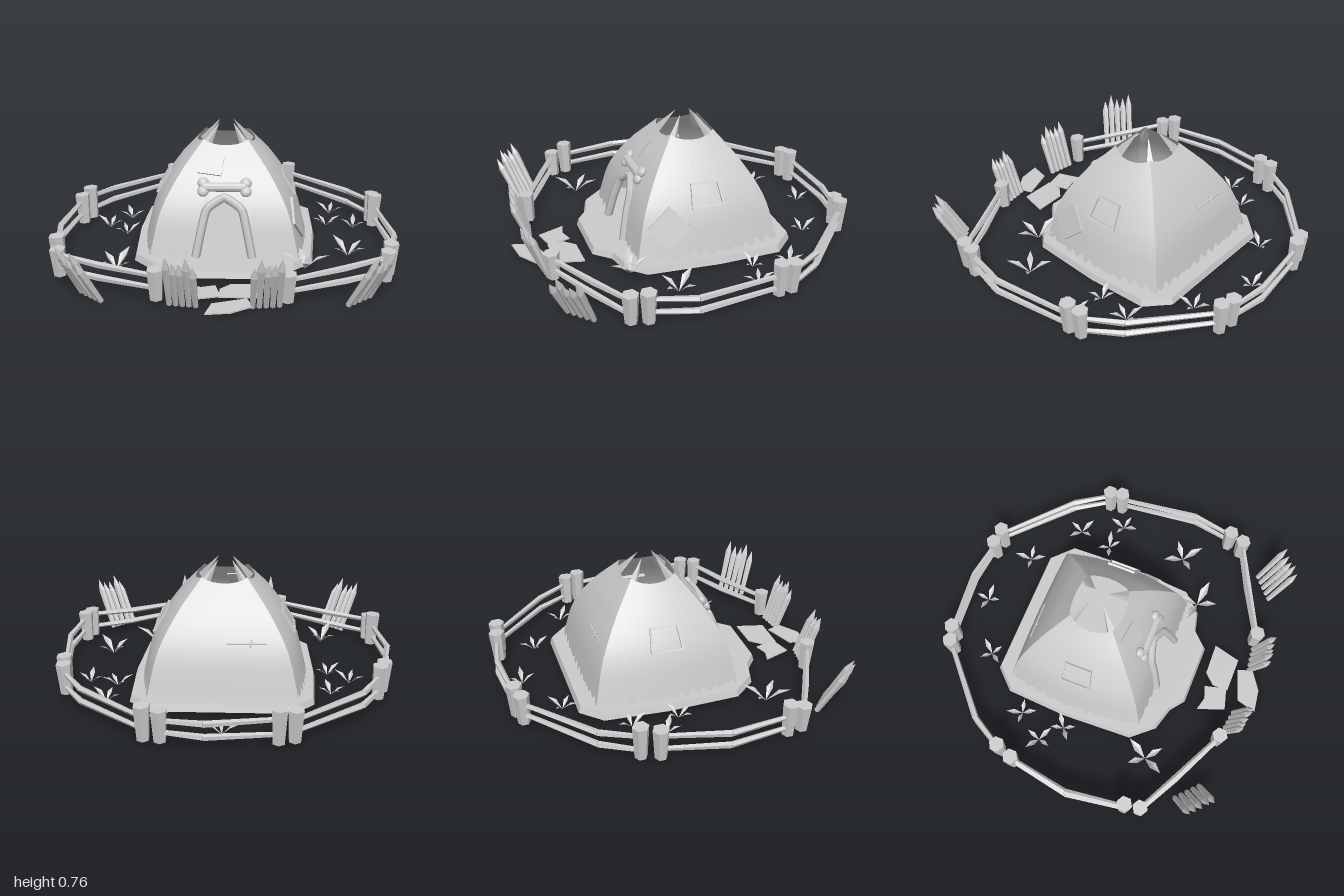
import * as THREE from 'three';

const V = (x, y, z) => new THREE.Vector3(x, y, z);
const flat = new THREE.MeshStandardMaterial({ color: 0xcccccc, flatShading: true });
const thin = new THREE.MeshStandardMaterial({ color: 0xcccccc, flatShading: true, side: THREE.DoubleSide });
const smooth = new THREE.MeshStandardMaterial({ color: 0xcccccc, side: THREE.DoubleSide });

function add(parent, name, geometry, material = flat) {
  const mesh = new THREE.Mesh(geometry, material);
  mesh.name = name;
  parent.add(mesh);
  return mesh;
}

function group(parent, name) {
  const g = new THREE.Group();
  g.name = name;
  parent.add(g);
  return g;
}

// Tapered rod from a to b
function rod(parent, name, a, b, r0, r1, sides = 6) {
  const d = b.clone().sub(a);
  const mesh = add(parent, name, new THREE.CylinderGeometry(r1, r0, d.length(), sides));
  mesh.position.copy(a).add(b).multiplyScalar(0.5);
  mesh.quaternion.setFromUnitVectors(V(0, 1, 0), d.normalize());
  return mesh;
}

// Flat slab from a plan outline of [x, z] points, its top drawn in by a factor
function slab(parent, name, outline, y, height, taper = 1) {
  const shape = new THREE.Shape(outline.map(([x, z]) => new THREE.Vector2(x, -z)));
  const geo = new THREE.ExtrudeGeometry(shape, { depth: height, bevelEnabled: false });
  geo.rotateX(-Math.PI / 2).translate(0, y, 0);
  const p = geo.attributes.position;
  for (let i = 0; i < p.count; i++)
    if (p.getY(i) > y + height / 2) p.setXYZ(i, p.getX(i) * taper, p.getY(i), p.getZ(i) * taper);
  return add(parent, name, geo);
}

// Linear lookup in a list of [key, value]
function lookup(table, k) {
  for (let i = 1; i < table.length; i++) {
    const [k0, v0] = table[i - 1], [k1, v1] = table[i];
    if (k <= k1) return v0 + (v1 - v0) * Math.max(0, (k - k0) / (k1 - k0));
  }
  return table[table.length - 1][1];
}

// Hut surface: four sides (0 front, 1 left, 2 back, 3 right), s runs -1..1 along each.
// The flanks bulge outwards, front and back are nearly flat.
const PROFILE = [[0.02, 0.49], [0.1, 0.472], [0.25, 0.435], [0.34, 0.4], [0.43, 0.347], [0.53, 0.275], [0.645, 0.17], [0.69, 0.13]];
const DOOR = [[0, 0.39], [0.28, 0.33], [0.33, 0.22], [0.38, 0.06]];

function wall(side, s, y) {
  const h = lookup(PROFILE, y);
  const p = side % 2 ? V(s * h * 0.88, y, h * (1 - 0.12 * s * s)) : V(s * h * 0.88, y, h * (0.905 - 0.025 * s * s));
  p.applyAxisAngle(V(0, 1, 0), side * Math.PI / 2);
  p.z -= 0.07;
  return p;
}

// Seats an object on the hut surface, its z pointing outwards
function onWall(obj, side, s, y, turn = 0) {
  const t = wall(side, s + 0.05, y).sub(wall(side, s - 0.05, y)).normalize();
  const up = wall(side, s, y + 0.03).sub(wall(side, s, y - 0.03));
  const n = t.clone().cross(up).normalize();
  obj.quaternion.setFromRotationMatrix(new THREE.Matrix4().makeBasis(t, n.clone().cross(t), n));
  obj.rotateZ(turn);
  obj.position.copy(wall(side, s, y));
}

function wallSide(side) {
  const cols = 48, rows = 14, pos = [], idx = [];
  for (let i = 0; i <= cols; i++) {
    const s = -1 + 2 * i / cols;
    // Ragged hem, raised over the doorway
    let y0 = 0.055 + (i % cols ? 0.045 * Math.abs(Math.sin(i * 2.3 + side) * Math.cos(i * 0.7)) : 0);
    if (side === 0 && Math.abs(s) < 0.38) y0 = lookup(DOOR, Math.abs(s));
    const y1 = 0.645 + 0.028 * s * s;
    for (let j = 0; j <= rows; j++) {
      pos.push(...wall(side, s, y0 + (y1 - y0) * j / rows).toArray());
      if (i < cols && j < rows) {
        const a = i * (rows + 1) + j, b = a + rows + 1;
        idx.push(a, b, b + 1, a, b + 1, a + 1);
      }
    }
  }
  const geo = new THREE.BufferGeometry();
  geo.setAttribute('position', new THREE.Float32BufferAttribute(pos, 3));
  geo.setIndex(idx);
  geo.computeVertexNormals();
  return geo;
}

function buildHut(root) {
  const hut = group(root, 'hut');
  for (let k = 0; k < 4; k++) add(hut, 'hideWall', wallSide(k), smooth);

  // Pole tips leaning in over the smoke hole
  for (const x of [-1, 1]) for (const z of [-1, 1])
    rod(hut, 'poleTip', V(x * 0.13, 0.6, z * 0.13 - 0.07), V(x * 0.042, 0.748, z * 0.042 - 0.07), 0.034, 0.001, 4);

  // Door arch following the opening
  const half = DOOR.slice().reverse();
  const path = [...half.map(([s, y]) => wall(0, -s, y)), ...half.slice(0, -1).reverse().map(([s, y]) => wall(0, s, y))];
  add(hut, 'doorArch', new THREE.TubeGeometry(new THREE.CatmullRomCurve3(path, false, 'catmullrom', 0.2), 24, 0.025, 6), smooth);

  // Bone above the door
  const bone = group(hut, 'bone');
  rod(bone, 'boneShaft', V(-0.12, 0, 0.008), V(0.12, 0, 0.008), 0.027, 0.027, 10);
  for (const x of [-1, 1]) for (const y of [-1, 1]) {
    const knob = add(bone, 'boneKnob', new THREE.SphereGeometry(0.033, 12, 8), smooth);
    knob.position.set(x * 0.122, y * 0.024, 0.008);
    knob.scale.z = 0.7;
  }
  onWall(bone, 0, 0, 0.44);

  // Window frames on both flanks
  const trapezoid = (P, b, t, h) => new P([[-b, -h], [b, -h], [t, h], [-t, h]].map(p => new THREE.Vector2(...p)));
  const frame = trapezoid(THREE.Shape, 0.097, 0.083, 0.073);
  frame.holes.push(trapezoid(THREE.Path, 0.085, 0.072, 0.061));
  const frameGeo = new THREE.ExtrudeGeometry(frame, { depth: 0.035, bevelEnabled: false }).translate(0, 0, -0.025);
  for (const side of [1, 3]) onWall(add(hut, 'windowFrame', frameGeo), side, 0, 0.392);

  // Patches and stitches
  const patch = (side, s, y, w, h, turn) =>
    onWall(add(hut, 'patch', new THREE.BoxGeometry(w, h, 0.018)), side, s, y, turn);
  patch(0, -0.36, 0.55, 0.14, 0.12, -0.12);
  patch(1, -0.62, 0.24, 0.18, 0.17, 0.75);
  const stitch = group(hut, 'stitch');
  rod(stitch, 'seam', V(-0.11, 0, 0), V(0.11, 0, 0), 0.006, 0.006, 5);
  rod(stitch, 'thread', V(0.02, -0.02, 0.004), V(0.03, 0.02, 0.004), 0.006, 0.006, 5);
  onWall(stitch, 2, 0.38, 0.36);
}

function buildFence(root) {
  const fence = group(root, 'fence');
  // Each run: post, outward bend, post, as [x, z]
  const runs = [
    [[-0.31, -0.93], [0.08, -0.965], [0.31, -0.93]],
    [[0.4, -0.915], [0.78, -0.57], [0.91, -0.37]],
    [[0.92, -0.29], [0.982, 0.2], [0.93, 0.455]],
    [[0.905, 0.545], [0.66, 0.67], [0.355, 0.83]],
    [[-0.34, 0.83], [-0.67, 0.67], [-0.91, 0.545]],
    [[-0.93, 0.455], [-0.982, 0.1], [-0.92, -0.27]],
    [[-0.885, -0.37], [-0.77, -0.57], [-0.395, -0.905]],
  ];
  runs.forEach(([a, m, b], i) => {
    const top = i === 3 || i === 4 ? 0.195 : 0.22;
    [a, b].forEach(([x, z], j) =>
      rod(fence, 'post', V(x * 0.99, 0.02, z * 0.99), V(x, top - 0.015 * j, z), 0.036, 0.047));
    [0.075, 0.15].forEach((y, j) => {
      const tilt = 0.012 * Math.sin(i * 2 + j);
      const mid = V(m[0], y - 0.008, m[1]);
      rod(fence, 'rail', V(a[0], y + tilt, a[1]), mid, 0.014, 0.019, 5);
      rod(fence, 'rail', mid, V(b[0], y - tilt, b[1]), 0.019, 0.014, 5);
    });
  });
}

// Row of sharpened stakes leaning outwards
function stakeRow(root, cx, cz, rowX, rowZ, leanX, leanZ) {
  const row = group(root, 'stakes');
  for (let i = 0; i < 5; i++) {
    const f = i / 4 - 0.5, h = 0.285 + 0.025 * Math.sin(i * 2.4 + 1);
    const at = t => V(cx + rowX * f + leanX * (t - 0.5), h * t, cz + rowZ * f + leanZ * (t - 0.5));
    rod(row, 'stakeShaft', at(0), at(0.78), 0.016, 0.021);
    rod(row, 'stakeTip', at(0.78), at(1), 0.021, 0.001);
  }
}

// Tuft of four folded leaf blades, level towards the tips
function tuft(root, x, z, size, turn) {
  const g = group(root, 'grassTuft');
  const geo = new THREE.BufferGeometry();
  const w = 0.17, p = [0, 0, 0, 0.5, 0.5, w, 1, 0.68, 0, 0.5, 0.42, 0, 0.5, 0.5, -w];
  geo.setAttribute('position', new THREE.Float32BufferAttribute(p, 3));
  geo.setIndex([0, 1, 3, 1, 2, 3, 0, 3, 4, 3, 2, 4]);
  geo.computeVertexNormals();
  for (let i = 0; i < 4; i++) {
    const leaf = add(g, 'leaf', geo, thin);
    leaf.rotation.y = i * Math.PI / 2 + 0.25 * Math.sin(i * 3 + x * 9);
    leaf.scale.setScalar(size * (1.15 - 0.2 * (i % 2)));
  }
  g.position.set(x, 0.02, z);
  g.rotation.y = turn;
}

export function createModel() {
  const root = new THREE.Group();
  root.name = 'tribalHut';

  slab(root, 'platform', [[-0.4, -0.59], [0.4, -0.59], [0.525, -0.47], [0.535, -0.1], [0.505, 0.325], [0.4, 0.435],
    [0.28, 0.465], [0.19, 0.56], [-0.175, 0.56], [-0.26, 0.495], [-0.4, 0.455], [-0.515, 0.325], [-0.535, -0.1], [-0.515, -0.47]], 0.02, 0.04, 0.98);
  buildHut(root);
  buildFence(root);

  // Stakes at the fence corners and flanking the path: centre x, side
  for (const [x, m] of [[-0.745, -1], [0.785, 1]]) stakeRow(root, x, 0.82, -m * 0.12, 0.11, m * 0.11, 0.11);
  for (const [x, m] of [[-0.202, -1], [0.245, 1]]) stakeRow(root, x, 0.9, -m * 0.14, 0.02, m * 0.01, 0.1);

  // Stepping stones
  slab(root, 'stone', [[-0.19, 0.645], [-0.11, 0.665], [-0.035, 0.64], [0, 0.77], [-0.13, 0.805]], 0.01, 0.008);
  slab(root, 'stone', [[0.05, 0.62], [0.24, 0.615], [0.2, 0.78], [-0.01, 0.78], [-0.01, 0.685]], 0.01, 0.008);
  slab(root, 'stone', [[-0.045, 0.86], [0.14, 0.795], [0.17, 0.885], [0.06, 0.96], [-0.075, 0.98]], 0.01, 0.008);

  // Grass: x, z, blade length
  [[-0.01, -0.84, 0.08], [-0.335, -0.67, 0.08], [0.35, -0.7, 0.085], [0.655, -0.47, 0.085], [0.62, -0.26, 0.08],
    [0.785, -0.225, 0.08], [0.715, 0.215, 0.115], [0.455, 0.41, 0.125], [-0.6, 0.46, 0.12], [-0.615, -0.34, 0.08],
    [-0.73, -0.18, 0.085], [-0.61, -0.07, 0.08]].forEach(([x, z, size], i) => tuft(root, x, z, size, i * 0.9));
  return root;
}
